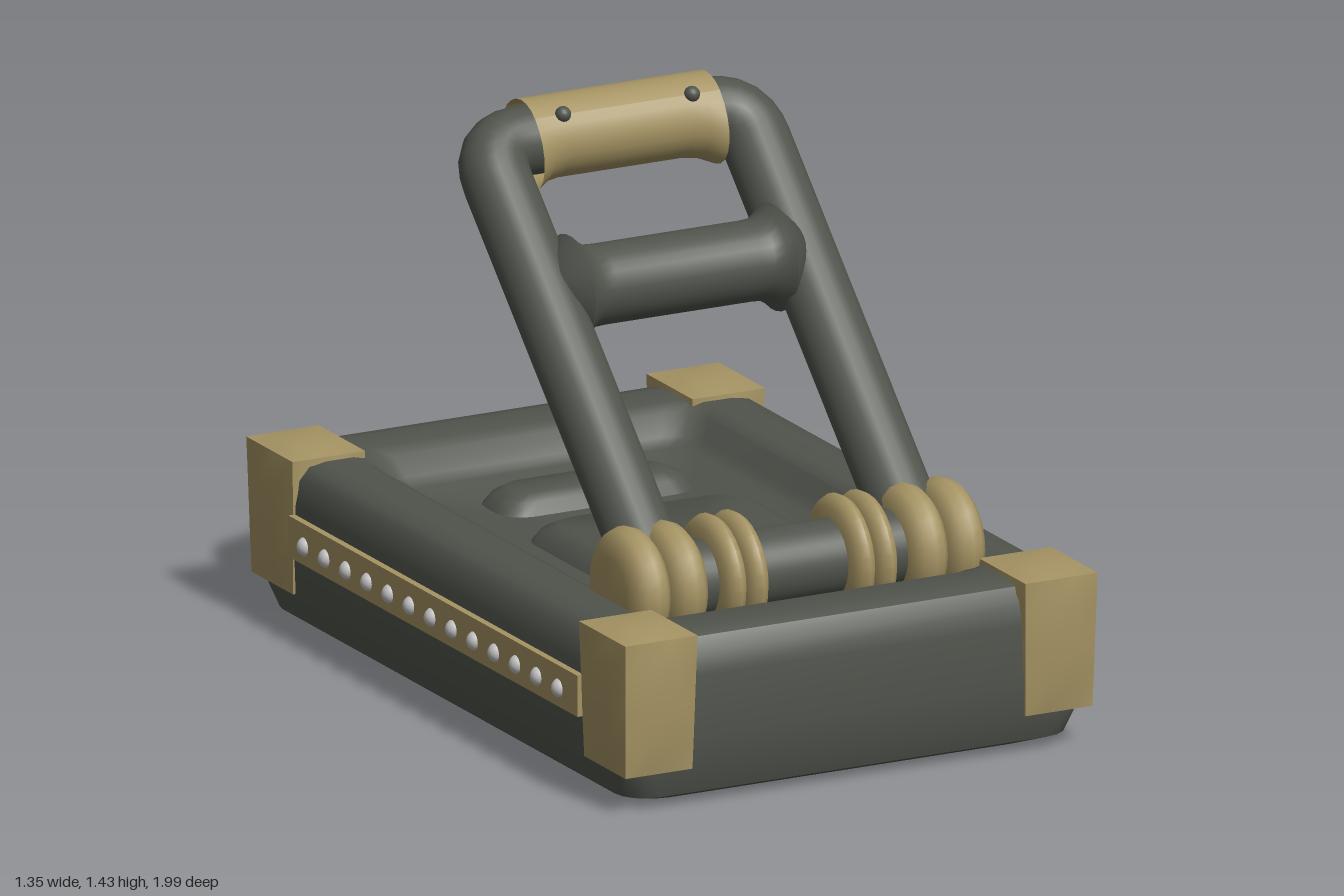
import * as THREE from 'three';
import { toCreasedNormals } from 'three/addons/utils/BufferGeometryUtils.js';

const mat = (name, color, side = THREE.FrontSide) => {
  const m = new THREE.MeshStandardMaterial({ color, side });
  m.name = name;
  return m;
};

// Stack of rounded rectangles, each ring = [halfX, halfZ, y]
function ringSolid(rings, radius, arc = 4) {
  const pos = [], idx = [], n = 4 * (arc + 1);
  for (const [hx, hz, y] of rings) {
    const r = Math.min(radius, hx, hz);
    for (let q = 0; q < 4; q++) {
      const sx = q === 0 || q === 3 ? 1 : -1, sz = q < 2 ? 1 : -1;
      for (let k = 0; k <= arc; k++) {
        const a = (q + k / arc) * Math.PI / 2;
        pos.push(sx * (hx - r) + r * Math.cos(a), y, sz * (hz - r) + r * Math.sin(a));
      }
    }
  }
  for (let j = 0; j < rings.length - 1; j++) {
    for (let i = 0; i < n; i++) {
      const a = j * n + i, b = j * n + (i + 1) % n, c = b + n, d = a + n;
      if (rings[j][0] > 0) idx.push(a, d, b);
      if (rings[j + 1][0] > 0) idx.push(b, d, c);
    }
  }
  const g = new THREE.BufferGeometry();
  g.setAttribute('position', new THREE.Float32BufferAttribute(pos, 3));
  g.setIndex(idx);
  return toCreasedNormals(g, 0.75);
}

// Turned shape along x, profile = [radius, x] with x increasing
function turned(profile, crease = 0.7) {
  const g = new THREE.LatheGeometry(profile.map(p => new THREE.Vector2(p[0], p[1])), 28);
  g.rotateZ(-Math.PI / 2);
  return toCreasedNormals(g, crease);
}

// Slightly lumpy corner guard, widening upwards
function guardGeometry(sx, sz) {
  const w = 0.22, h = 0.368, d = 0.26;
  const g = new THREE.BoxGeometry(w, h, d, 3, 4, 3), p = g.attributes.position;
  for (let i = 0; i < p.count; i++) {
    let x = p.getX(i), y = p.getY(i), z = p.getZ(i);
    const ex = Math.abs(x) > w / 2 - 0.001, ey = Math.abs(y) > h / 2 - 0.001, ez = Math.abs(z) > d / 2 - 0.001;
    const up = y / h + 0.5;
    const pull = ex + ey + ez > 1 ? 0.013 : 0;
    if (ex) x -= Math.sign(x) * pull;
    if (ey) y -= Math.sign(y) * pull;
    if (ez) z -= Math.sign(z) * pull;
    x *= 0.95 + 0.08 * up;
    z *= 0.92 + 0.11 * up;
    p.setXYZ(i, x + sx * 0.552, y + 0.27, z + sz * 0.863);
  }
  return toCreasedNormals(g, 0.4);
}

export function createModel() {
  const model = new THREE.Group();
  model.name = 'caseWithHandle';
  const dark = mat('darkGreenGrey', 0x50544c);
  const tan = mat('tanLeather', 0xa59363);
  const tanOpen = mat('tanSleeve', 0xa59363, THREE.DoubleSide);
  const steel = mat('paleSteel', 0xc4c3c4);
  const add = (parent, name, geo, m, x = 0, y = 0, z = 0) => {
    const mesh = new THREE.Mesh(geo, m);
    mesh.name = name;
    mesh.position.set(x, y, z);
    parent.add(mesh);
    return mesh;
  };

  // Body with chamfered base and a sunken top
  add(model, 'body', ringSolid([
    [0, 0, 0], [0.55, 0.87, 0], [0.615, 0.94, 0.028], [0.637, 0.96, 0.09],
    [0.642, 0.966, 0.18], [0.642, 0.966, 0.33], [0.632, 0.957, 0.39], [0.605, 0.935, 0.422],
    [0.56, 0.89, 0.43], [0.49, 0.79, 0.43], [0.455, 0.75, 0.415], [0.43, 0.72, 0.365],
    [0.4, 0.69, 0.345], [0, 0, 0.345],
  ], 0.08), dark);

  // Raised pads in the sunken top
  const pad = (name, hx, hz, z) => add(model, name, ringSolid([
    [hx, hz, 0.34], [hx - 0.02, hz - 0.02, 0.375], [hx - 0.055, hz - 0.045, 0.393], [0, 0, 0.393],
  ], 0.07), dark, 0, 0, z);
  pad('largePad', 0.31, 0.35, 0.14);
  pad('smallPad', 0.27, 0.1, -0.44);

  // Corner guards
  for (const sx of [-1, 1]) for (const sz of [-1, 1]) {
    add(model, 'cornerGuard', guardGeometry(sx, sz), tan);
  }

  // Side strips with studs
  const studGeo = new THREE.SphereGeometry(0.025, 14, 10);
  for (const s of [-1, 1]) {
    add(model, 'sideStrip', new THREE.BoxGeometry(0.03, 0.105, 1.5), tan, s * 0.645, 0.252, 0);
    for (let i = 0; i < 13; i++) {
      add(model, 'stud', studGeo, steel, s * 0.652, 0.246, 0.65 - i * 0.11);
    }
  }

  // Hinge: bar and rounded discs
  const hinge = new THREE.Group();
  hinge.name = 'hinge';
  hinge.position.set(0, 0.454, 0.6);
  model.add(hinge);
  add(hinge, 'hingeBar', turned([[0, -0.4], [0.097, -0.4], [0.097, 0.4], [0, 0.4]]), dark);
  const disc = (x, w) => add(hinge, 'hingeDisc', turned([
    [0, -w], [0.08, -w], [0.125, -0.85 * w], [0.146, -0.5 * w], [0.155, 0],
    [0.146, 0.5 * w], [0.125, 0.85 * w], [0.08, w], [0, w],
  ], 1), tan, x);
  for (const s of [-1, 1]) {
    disc(s * 0.147, 0.033);
    disc(s * 0.208, 0.033);
    disc(s * 0.331, 0.053);
    disc(s * 0.434, 0.053);
  }

  // Tilted handle, built upright from the hinge
  const handle = new THREE.Group();
  handle.name = 'handle';
  handle.position.copy(hinge.position);
  handle.rotation.x = -0.807;
  model.add(handle);

  const V = (x, y) => new THREE.Vector3(x, y, 0);
  const X = 0.357, TOP = 1.254, R = 0.1;
  const path = new THREE.CurvePath();
  path.add(new THREE.LineCurve3(V(-X, 0), V(-X, TOP - R)));
  path.add(new THREE.QuadraticBezierCurve3(V(-X, TOP - R), V(-X, TOP), V(-X + R, TOP)));
  path.add(new THREE.LineCurve3(V(-X + R, TOP), V(X - R, TOP)));
  path.add(new THREE.QuadraticBezierCurve3(V(X - R, TOP), V(X, TOP), V(X, TOP - R)));
  path.add(new THREE.LineCurve3(V(X, TOP - R), V(X, 0)));
  add(handle, 'handleFrame', new THREE.TubeGeometry(path, 120, 0.087, 20), dark);

  // Cross bar with flared ends
  add(handle, 'crossBar', turned([
    [0, -0.36], [0.06, -0.36], [0.135, -0.28], [0.118, -0.262], [0.102, -0.235], [0.1, -0.2],
    [0.1, 0.2], [0.102, 0.235], [0.118, 0.262], [0.135, 0.28], [0.06, 0.36], [0, 0.36],
  ], 1), dark, 0, 0.835, 0);

  // Grip sleeve, its lower edge dropping at both ends
  const sleeveGeo = new THREE.CylinderGeometry(0.103, 0.103, 0.51, 24, 12, true);
  sleeveGeo.rotateZ(Math.PI / 2);
  const p = sleeveGeo.attributes.position;
  for (let i = 0; i < p.count; i++) {
    const end = Math.max(0, Math.abs(p.getX(i)) - 0.2) / 0.055;
    const low = Math.max(0, -p.getY(i)) / 0.103;
    p.setY(i, p.getY(i) - 0.035 * end * low);
  }
  sleeveGeo.computeVertexNormals();
  add(handle, 'gripSleeve', sleeveGeo, tanOpen, 0, TOP, 0.004);

  // Sleeve rivets
  const rivetGeo = new THREE.SphereGeometry(0.02, 14, 10);
  for (const s of [-1, 1]) add(handle, 'gripRivet', rivetGeo, dark, s * 0.178, TOP, 0.108);

  return model;
}
